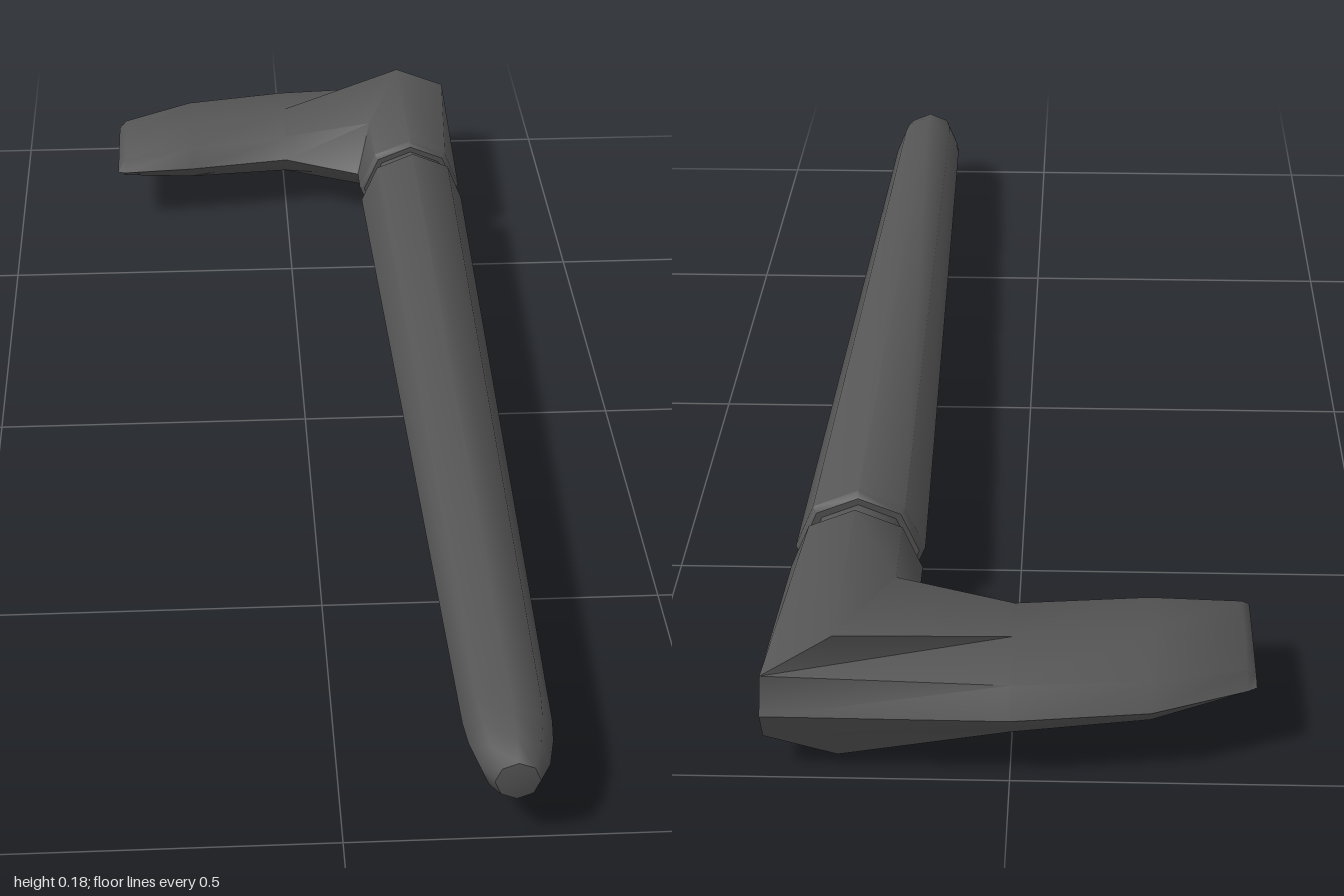
import * as THREE from 'three';
import { toCreasedNormals } from 'three/addons/utils/BufferGeometryUtils.js';

const CX = 0.225, CY = 0.093, R = 0.092;
const material = new THREE.MeshStandardMaterial({ color: 0x555555 });

function addMesh(group, geometry, name) {
  const mesh = new THREE.Mesh(toCreasedNormals(geometry, 0.85), material);
  mesh.name = name;
  group.add(mesh);
}

// Eight-sided turned part lying along z; profile is [radius, z] from back to front
function turned(profile) {
  const g = new THREE.LatheGeometry(profile.map(p => new THREE.Vector2(...p)), 8);
  return g.rotateX(Math.PI / 2).translate(CX, CY, 0);
}

// Round eight-point ring of the collar
function ring(r, z) {
  return Array.from({ length: 8 }, (_, i) => {
    const a = i * Math.PI / 4;
    return [CX + r * Math.cos(a), CY + r * Math.sin(a), z];
  });
}

// Eight-point section through the arm at x, from the outer (back) edge to the inner edge
function armSection(x, zOut, zIn, h) {
  const mid = (zOut + zIn) / 2, half = (zOut - zIn) / 2;
  return Array.from({ length: 8 }, (_, i) => {
    const a = i * Math.PI / 4, diag = i % 2 ? 1.1 : 1;
    return [x, CY + h * Math.sin(a) * diag, mid + half * Math.cos(a) * diag];
  });
}

// Skin a list of eight-point loops and close both ends
function skin(loops) {
  const pos = loops.flat(2), index = [], n = 8, last = (loops.length - 1) * n;
  for (let k = 0; k < loops.length - 1; k++) {
    for (let i = 0; i < n; i++) {
      const j = (i + 1) % n, a = k * n + i, b = k * n + j;
      index.push(a, a + n, b + n, a, b + n, b);
    }
  }
  for (let i = 1; i < n - 1; i++) {
    index.push(0, i, i + 1, last, last + i + 1, last + i);
  }
  const g = new THREE.BufferGeometry();
  g.setAttribute('position', new THREE.Float32BufferAttribute(pos, 3));
  g.setIndex(index);
  return g;
}

export function createModel() {
  const group = new THREE.Group();
  group.name = 'walkingCane';

  // Tapered shaft with a rounded tip
  addMesh(group, turned([
    [0, -0.597], [0.084, -0.597], [R, -0.588], [0.06, 0.88],
    [0.056, 0.92], [0.046, 0.965], [0.03, 0.995], [0, 1],
  ]), 'shaft');

  // Narrow neck between shaft and handle
  addMesh(group, turned([[0.074, -0.65], [0.074, -0.585]]), 'neck');

  // Elbow: outer diagonals spread to a flat end, outer edge forms the back corner
  const dy = 0.046, d = 0.066;
  const elbow = [
    [0.317, CY, -0.998], [0.317, CY + dy, -0.975], [CX, CY + R, -0.95], [CX - d, CY + d, -0.77],
    [CX - R, CY, -0.69], [CX - d, CY - d, -0.77], [CX, CY - R, -0.95], [0.317, CY - dy, -0.975],
  ];

  // Handle: bevelled collar, elbow, then a flattening arm with a wedge end
  addMesh(group, skin([
    ring(0.084, -0.632), ring(R, -0.641), elbow,
    armSection(0, -1, -0.755, 0.046),
    armSection(-0.18, -0.978, -0.726, 0.038),
    armSection(-0.305, -0.926, -0.716, 0.021),
    armSection(-0.317, -0.918, -0.72, 0.005),
  ]), 'handle');

  return group;
}
